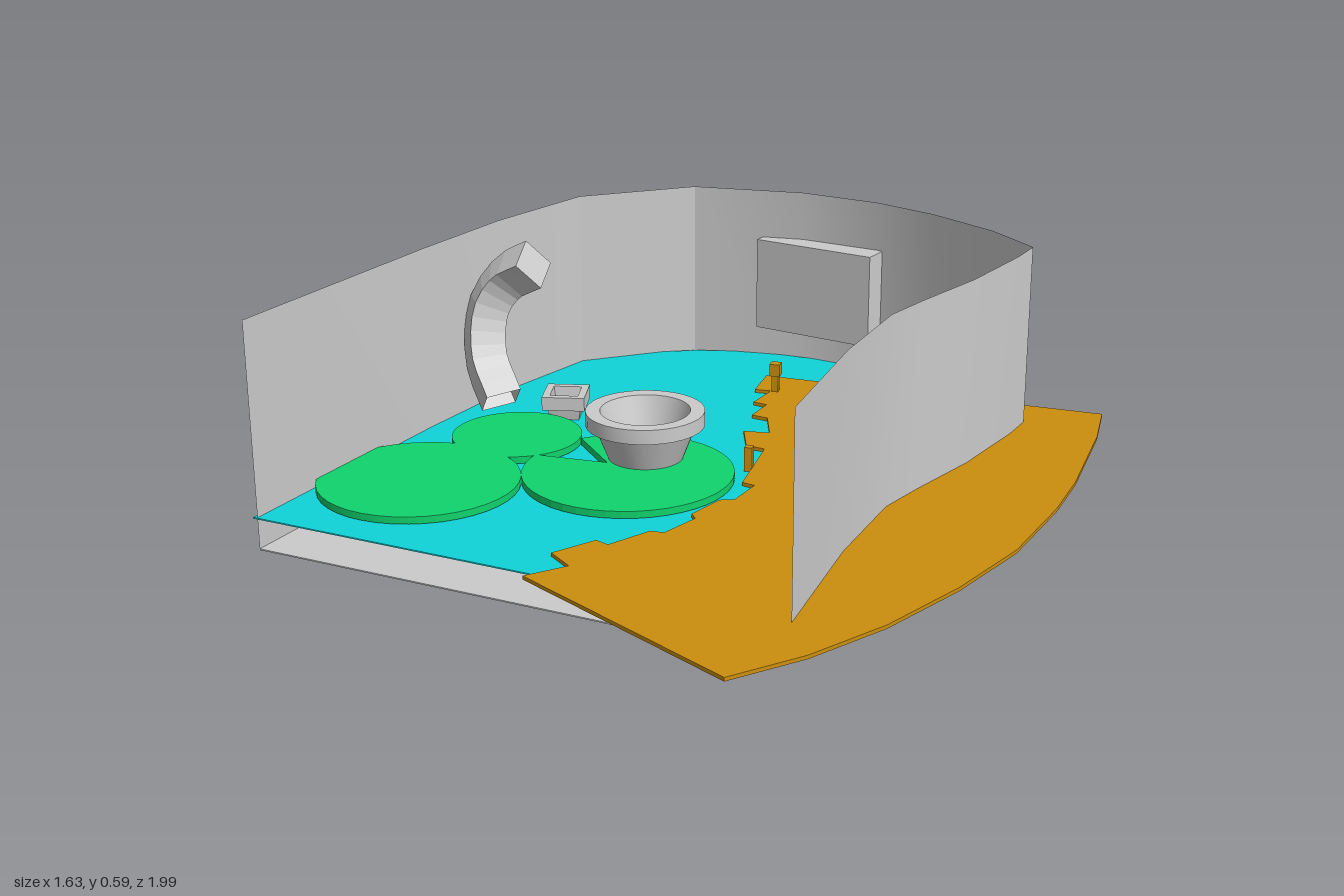
import * as THREE from 'three';
import { toCreasedNormals } from 'three/addons/utils/BufferGeometryUtils.js';

const material = (color, flat = false) =>
  new THREE.MeshStandardMaterial({ color, side: THREE.DoubleSide, flatShading: flat });
const GREY = material(0xcccccc);
const GREY_FLAT = material(0xcccccc, true);
const WATER = material(0x0fd4d8);
const GREEN = material(0x10d46c);
const EARTH = material(0xcc8f0e);

export function createModel() {
  const model = new THREE.Group();

  const add = (name, geometry, mat, x = 0, y = 0, z = 0) => {
    const mesh = new THREE.Mesh(geometry, mat);
    mesh.name = name;
    mesh.position.set(x, y, z);
    model.add(mesh);
    return mesh;
  };

  // Horizontal slab from an outline of [x, z] points
  const slab = (outline, depth) => {
    const shape = new THREE.Shape(outline.map(([x, z]) => new THREE.Vector2(x, -z)));
    return new THREE.ExtrudeGeometry(shape, { depth, bevelEnabled: false }).rotateX(-Math.PI / 2);
  };

  // Ground plan of the wall, from the left front round the back to the right front
  const plan = [
    [-0.81, 0.55], [-0.68, -0.06], [-0.61, -0.34], [-0.505, -0.62], [-0.26, -0.8],
    [0.02, -0.81], [0.22, -0.76], [0.37, -0.685], [0.53, -0.57], [0.64, -0.45],
    [0.62, -0.36], [0.555, -0.15], [0.48, 0.03], [0.435, 0.15], [0.4, 0.4], [0.38, 0.75],
  ];

  // Thin standing wall, open at the front
  const positions = [];
  const index = [];
  plan.forEach(([x, z], i) => {
    positions.push(x, 0.07, z, x, 0.57, z);
    if (i > 0) {
      const a = 2 * (i - 1);
      index.push(a, a + 1, a + 2, a + 1, a + 3, a + 2);
    }
  });
  const wall = new THREE.BufferGeometry();
  wall.setAttribute('position', new THREE.Float32BufferAttribute(positions, 3));
  wall.setIndex(index);
  add('wall', toCreasedNormals(wall, 0.5), GREY);

  add('floor', slab(plan, 0.003), GREY, 0, 0.068, 0);

  // Water surface, slightly rounder than the wall
  const water = [
    [-0.82, 0.55], [-0.72, 0], [-0.67, -0.22], [-0.6, -0.45], [-0.51, -0.63],
    [-0.37, -0.73], [-0.25, -0.785], [-0.1, -0.815], [0.05, -0.8], [0.2, -0.76],
    [0.35, -0.69], [0.52, -0.57], ...plan.slice(9),
  ];
  add('water', slab(water, 0.003), WATER, 0, 0.138, 0);

  // Bank with a ragged shoreline
  const bank = [
    [-0.02, -0.61], [0.81, -0.555], [0.815, -0.4], [0.8, -0.1], [0.78, 0.06], [0.73, 0.3],
    [0.65, 0.51], [0.55, 0.71], [0.44, 0.87], [0.32, 0.995], [-0.17, 0.69],
    [-0.1, 0.62], [-0.155, 0.57], [-0.09, 0.485], [-0.06, 0.5], [0, 0.41], [0.03, 0.41],
    [0.07, 0.32], [0.055, 0.3], [0.09, 0.21], [0.12, 0.2], [0.14, 0.11], [0.11, 0.1],
    [0.105, -0.11], [0.06, -0.12], [0.03, -0.21], [0.09, -0.215], [0.06, -0.31],
    [0.02, -0.32], [0.035, -0.4], [0, -0.41], [0.02, -0.5], [-0.02, -0.5],
  ];
  add('bank', slab(bank, 0.008), EARTH, 0, 0.142, 0);
  add('backPeg', new THREE.BoxGeometry(0.016, 0.07, 0.016), EARTH, 0.03, 0.18, -0.505);
  add('backPegHead', new THREE.BoxGeometry(0.025, 0.03, 0.025), EARTH, 0.03, 0.205, -0.505);
  add('frontPeg', new THREE.BoxGeometry(0.018, 0.08, 0.018), EARTH, 0.1, 0.157, 0.005);

  // Lily pads, one with a wedge cut out
  for (const [name, x, z, r] of [['largePad', -0.56, 0.29, 0.22], ['smallPad', -0.455, -0.025, 0.148]]) {
    add(name, new THREE.CylinderGeometry(r, r, 0.016, 40), GREEN, x, 0.151, z);
  }
  const notched = [[-0.2, 0.09]];
  for (let i = 0; i <= 40; i++) {
    const t = 3.92 + ((3.3 + Math.PI * 2 - 3.92) * i) / 40;
    notched.push([-0.14 + 0.232 * Math.cos(t), 0.125 + 0.232 * Math.sin(t)]);
  }
  add('notchedPad', slab(notched, 0.016), GREEN, 0, 0.143, 0);

  // Flared round bowl with a thick rim
  const bowl = [
    [0, 0.15], [0.08, 0.15], [0.113, 0.235], [0.132, 0.235], [0.132, 0.268],
    [0.1, 0.268], [0.07, 0.175], [0, 0.175],
  ].map(([r, y]) => new THREE.Vector2(r, y));
  add('bowl', toCreasedNormals(new THREE.LatheGeometry(bowl, 32), 0.5), GREY, -0.13, 0, 0.03);

  // Square funnels: half-widths and heights turned into four-sided lathes
  const funnel = (name, x, y, z, half, height, turn) => {
    const profile = [
      [0, 0], [0.62, 0], [0.78, 0.6], [1, 0.6], [1, 1], [0.66, 1], [0.5, 0.3], [0, 0.3],
    ].map(([r, h]) => new THREE.Vector2(r * half * Math.SQRT2, h * height));
    const geometry = new THREE.LatheGeometry(profile, 4, Math.PI / 4);
    add(name, geometry, GREY_FLAT, x, y, z).rotation.y = turn;
  };
  funnel('leftBankFunnel', 0.275, 0.148, -0.445, 0.062, 0.066, -0.22);
  funnel('rightBankFunnel', 0.4, 0.148, -0.44, 0.062, 0.095, -0.5);
  funnel('pondFunnel', -0.408, 0.12, -0.225, 0.05, 0.08, 0.2);

  // Square bent pipes
  const pipe = (name, points, radius) => {
    const curve = new THREE.CatmullRomCurve3(points.map((p) => new THREE.Vector3(...p)));
    add(name, new THREE.TubeGeometry(curve, 12, radius, 4), GREY_FLAT);
    return curve;
  };
  pipe('drainPipe', [[-0.405, 0.13, -0.225], [-0.43, 0.085, -0.225], [-0.43, 0.045, -0.225], [-0.402, 0.006, -0.225]], 0.042);
  const spout = pipe('spout', [[-0.525, 0.205, -0.11], [-0.58, 0.29, -0.16], [-0.585, 0.4, -0.2], [-0.54, 0.47, -0.21], [-0.465, 0.515, -0.185]], 0.058);

  // Cap closing the upper end of the spout
  const cap = add('spoutCap', new THREE.CircleGeometry(0.058, 4), GREY_FLAT);
  const frames = spout.computeFrenetFrames(12);
  cap.matrixAutoUpdate = true;
  cap.quaternion.setFromRotationMatrix(
    new THREE.Matrix4().makeBasis(frames.normals[12], frames.binormals[12], frames.tangents[12]),
  );
  cap.position.copy(spout.getPoint(1));

  // Housing passing through the back wall
  add('backHousing', new THREE.BoxGeometry(0.32, 0.23, 0.23), GREY, 0.095, 0.335, -0.845).rotation.y = -0.28;

  return model;
}
